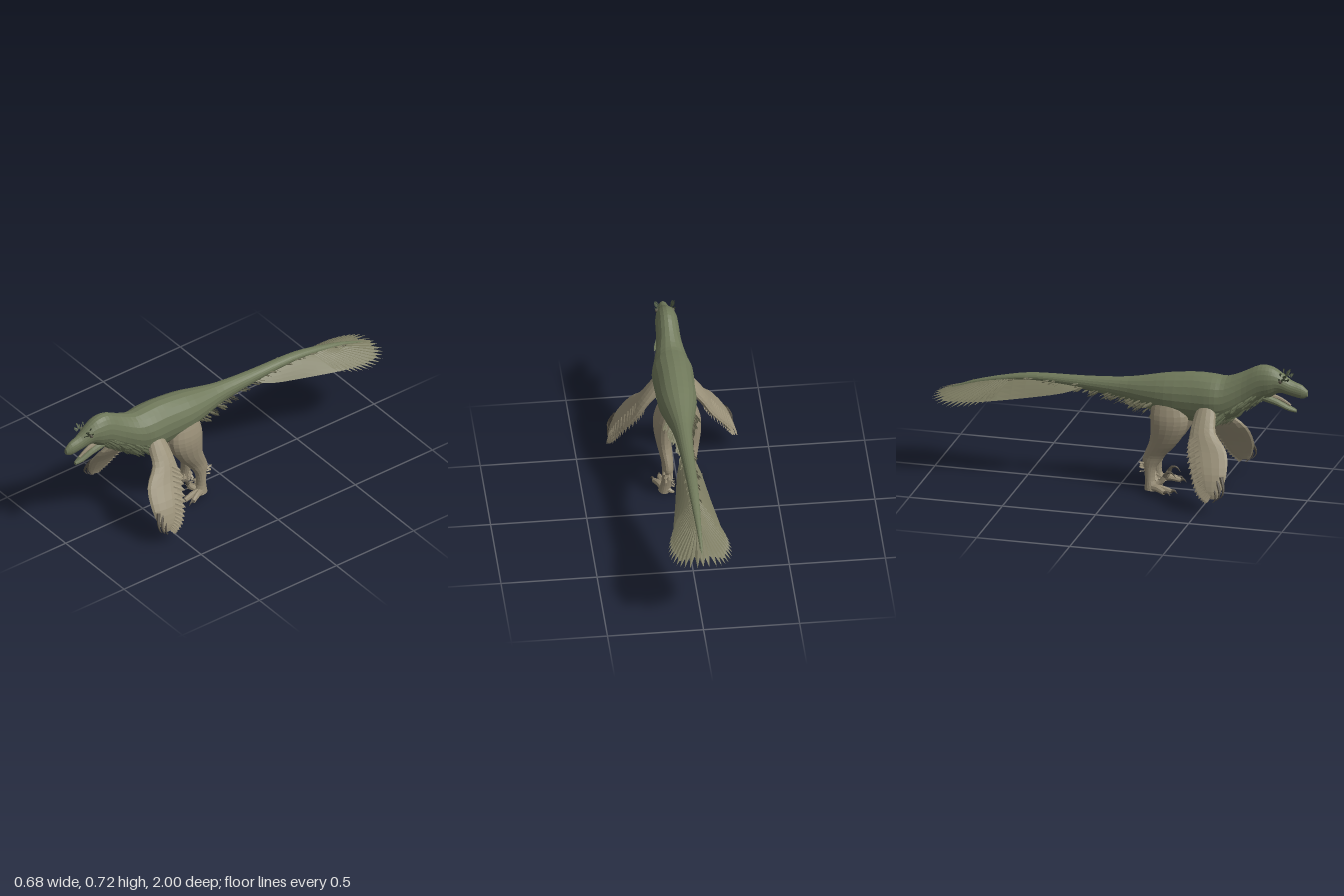
import * as THREE from 'three';
import { mergeGeometries } from 'three/addons/utils/BufferGeometryUtils.js';

const V = (x, y, z) => new THREE.Vector3(x, y, z);
const mat = (color) => new THREE.MeshStandardMaterial({ color, flatShading: true, roughness: 1, side: THREE.DoubleSide });

// Catmull-Rom blend of table rows at index t
function rowAt(rows, t) {
  const n = rows.length - 1, i = Math.min(Math.floor(t), n - 1), f = t - i;
  const r = (k) => rows[Math.max(0, Math.min(n, k))];
  return rows[0].map((_, c) => {
    const [a, b, d, e] = [r(i - 1)[c], r(i)[c], r(i + 1)[c], r(i + 2)[c]];
    return b + 0.5 * f * (d - a + f * (2 * a - 5 * b + 4 * d - e + f * (3 * (b - d) + e - a)));
  });
}

// point on an elliptical section [position, aMin, aMax, bMin, bMax]
function ringPoint([p, a0, a1, b0, b1], axis, ang) {
  const a = (a0 + a1) / 2 + (a1 - a0) / 2 * Math.cos(ang);
  const b = (b0 + b1) / 2 + (b1 - b0) / 2 * Math.sin(ang);
  return axis === 'z' ? V(a, b, p) : V(b, p, a);
}

// closed skin through the sections, positions ascending
function loft(rows, axis, sides = 18, steps = 3) {
  const pos = [], idx = [], n = (rows.length - 1) * steps;
  for (let i = 0; i <= n; i++) for (let j = 0; j < sides; j++)
    pos.push(...ringPoint(rowAt(rows, i / steps), axis, j / sides * Math.PI * 2).toArray());
  for (let j = 0; j < sides; j++) {
    const k = (j + 1) % sides, e = n * sides;
    for (let i = 0; i < n; i++) {
      const a = i * sides + j, b = i * sides + k;
      idx.push(a, b, b + sides, a, b + sides, a + sides);
    }
    if (j > 0 && j < sides - 1) idx.push(0, k, j, e, e + j, e + k);
  }
  return finish(pos, idx);
}

function finish(pos, idx) {
  const g = new THREE.BufferGeometry();
  g.setAttribute('position', new THREE.Float32BufferAttribute(pos, 3));
  g.setIndex(idx);
  const out = g.toNonIndexed();
  out.computeVertexNormals();
  return out;
}

// one ridged leaf-shaped feather from a to b, lying across normal n
function feather(a, b, w, n) {
  const d = b.clone().sub(a), s = d.clone().cross(n).normalize().multiplyScalar(w);
  const m = a.clone().addScaledVector(d, 0.72), lift = n.clone().normalize().multiplyScalar(w * 0.3);
  const pts = [a.clone().addScaledVector(s, 0.5), a.clone().add(lift), a.clone().addScaledVector(s, -0.5),
    m.clone().add(s), m.clone().add(lift), m.clone().sub(s), b];
  return finish(pts.flatMap((p) => p.toArray()), [0, 1, 4, 0, 4, 3, 1, 2, 5, 1, 5, 4, 3, 4, 6, 4, 5, 6]);
}

// tube through points that narrows from r0 to r1
function taper(points, r0, r1, seg = 8, sides = 8) {
  const curve = new THREE.CatmullRomCurve3(points.map((p) => V(...p)));
  const g = new THREE.TubeGeometry(curve, seg, 1, sides), p = g.attributes.position, v = V(0, 0, 0);
  for (let i = 0; i < p.count; i++) {
    const t = Math.floor(i / (sides + 1)) / seg, c = curve.getPointAt(t);
    v.fromBufferAttribute(p, i).sub(c).multiplyScalar(r0 + (r1 - r0) * t).add(c);
    p.setXYZ(i, v.x, v.y, v.z);
  }
  const out = g.toNonIndexed();
  out.deleteAttribute('uv');
  out.computeVertexNormals();
  return out;
}

function mirrored(geo) {
  const g = geo.clone(), p = g.attributes.position, q = geo.attributes.position;
  for (let i = 0; i < p.count; i++) {
    const j = i % 3 === 1 ? i + 1 : i % 3 === 2 ? i - 1 : i;
    p.setXYZ(i, -q.getX(j), q.getY(j), q.getZ(j));
  }
  g.computeVertexNormals();
  return g;
}

export function createModel() {
  const root = new THREE.Group();
  const green = mat(0x6f785a), dark = mat(0x4b5540), olive = mat(0x7d7c62), tan = mat(0x958b74), wingTan = mat(0x999078), claw = mat(0x5a5448);
  let seed = 7;
  const rand = () => (seed = (seed * 16807) % 2147483647) / 2147483647;
  const add = (name, geos, m, both = false) => {
    const g = Array.isArray(geos) ? mergeGeometries(geos) : geos;
    const put = (label, geo) => { const o = new THREE.Mesh(geo, m); o.name = label; root.add(o); };
    put(both ? name + 'Left' : name, g);
    if (both) put(name + 'Right', mirrored(g));
  };

  // tail, trunk, neck, skull and upper jaw: z, half width, bottom, top
  const body = [[-0.95, 0.005, 0.415, 0.43], [-0.8, 0.012, 0.47, 0.492], [-0.61, 0.022, 0.505, 0.542], [-0.45, 0.028, 0.52, 0.566],
    [-0.2, 0.036, 0.5, 0.573], [0, 0.05, 0.47, 0.586], [0.12, 0.075, 0.44, 0.605], [0.25, 0.1, 0.405, 0.632], [0.4, 0.105, 0.385, 0.65],
    [0.5, 0.108, 0.39, 0.648], [0.57, 0.092, 0.405, 0.645], [0.66, 0.068, 0.46, 0.682], [0.74, 0.061, 0.52, 0.722], [0.8, 0.058, 0.55, 0.722],
    [0.85, 0.047, 0.582, 0.698], [0.91, 0.034, 0.572, 0.655], [0.97, 0.023, 0.56, 0.632], [1, 0.011, 0.573, 0.605]]
    .map(([z, w, b, t]) => [z, -w, w, b, t]);
  add('body', loft(body, 'z', 20), green);
  const skin = (z, ang) => {
    const i = Math.max(0, body.findIndex((r) => r[0] >= z) - 1);
    return ringPoint(rowAt(body, i + (z - body[i][0]) / (body[i + 1][0] - body[i][0])), 'z', ang);
  };

  // lower jaw, tongue, eyes and brow tufts
  add('lowerJaw', loft([[0.76, -0.036, 0.036, 0.53, 0.58], [0.84, -0.031, 0.031, 0.51, 0.55],
    [0.9, -0.023, 0.023, 0.487, 0.517], [0.94, -0.01, 0.01, 0.48, 0.497]], 'z', 12), green);
  add('tongue', taper([[0, 0.565, 0.79], [0, 0.545, 0.86], [0, 0.517, 0.91]], 0.015, 0.006), tan);
  const eye = new THREE.SphereGeometry(0.01, 10, 8).toNonIndexed();
  add('eye', eye.translate(0.042, 0.655, 0.865), claw, true);
  const brow = [];
  for (let i = 0; i < 14; i++) {
    const a = V(0.028 + rand() * 0.014, 0.645 + rand() * 0.04, 0.845 + rand() * 0.06);
    brow.push(feather(a, a.clone().add(V(0.008 + rand() * 0.01, 0.008 + rand() * 0.018, -0.012 + rand() * 0.024)), 0.006, V(1, 0, 0.3)));
  }
  add('browTuft', brow, dark, true);

  // feathers scattered over the body's underside between two z and two angles
  const scatter = (count, z0, z1, spread, len, w, droop) => Array.from({ length: count }, () => {
    const ang = -Math.PI / 2 + (rand() * 2 - 1) * spread, z = z0 + rand() * (z1 - z0);
    const a = skin(z, ang), out = V(Math.cos(ang), Math.sin(ang), 0), l = len * (0.7 + 0.6 * rand());
    const b = a.clone().addScaledVector(out, l * (0.25 + 0.25 * rand())).add(V(0, -droop * l, -l * 0.8));
    return feather(a.addScaledVector(out, -0.003), b, w, out);
  });
  add('chestRuff', scatter(130, 0.48, 0.79, 1.25, 0.05, 0.009, 0.45), green);
  add('hipFeathers', scatter(50, 0.04, 0.22, 1.3, 0.045, 0.01, 0.3), olive);
  add('tailUndersideFeathers', scatter(90, -0.3, 0.15, 1.0, 0.045, 0.009, 0.15), olive);
  add('tailSideFeathers', scatter(70, -0.85, -0.2, 1.6, 0.035, 0.006, 0.05), olive);

  // tail vanes: sheet drooping from the spine; z, spine y, half width, edge y
  const vane = [[-0.93, 0.43, 0.12, 0.405], [-0.82, 0.475, 0.13, 0.415], [-0.7, 0.512, 0.125, 0.425], [-0.5, 0.545, 0.093, 0.452], [-0.3, 0.545, 0.062, 0.487], [-0.2, 0.53, 0.03, 0.52]];
  const sheet = new THREE.PlaneGeometry(2, 1, 12, 15), sp = sheet.attributes.position;
  for (let i = 0; i < sp.count; i++) {
    const [z, y, w, e] = rowAt(vane, (0.5 - sp.getY(i)) * 5), u = sp.getX(i);
    sp.setXYZ(i, u * w, y + (e - y) * Math.pow(Math.abs(u), 1.4), z);
  }
  add('tailVane', sheet, olive);

  // fan feathers: tips follow a rounded outline; x, y, z
  const rim = [[0, 0.41, -1], [0.08, 0.405, -0.995], [0.13, 0.395, -0.96], [0.16, 0.39, -0.9], [0.165, 0.395, -0.83], [0.152, 0.405, -0.76], [0.127, 0.42, -0.69]];
  const fan = [];
  for (let i = 0; i < 15; i++) {
    const t = i / 14, tip = V(...rowAt(rim, t * 6)), base = V(0.008, 0.485 + 0.05 * t, -0.78 + 0.2 * t);
    fan.push(feather(base, tip, 0.014, V(0.4, 1, -0.3)));
  }
  add('tailFan', fan, olive, true);

  // winged arms: y, z range, x range
  const wing = [[0.08, 0.55, 0.6, 0.306, 0.324], [0.12, 0.5, 0.62, 0.287, 0.323], [0.2, 0.455, 0.638, 0.24, 0.293], [0.3, 0.415, 0.62, 0.17, 0.23],
    [0.38, 0.412, 0.55, 0.122, 0.184], [0.45, 0.42, 0.535, 0.06, 0.14], [0.52, 0.44, 0.52, 0.04, 0.09]];
  add('arm', loft(wing, 'y', 14), wingTan, true);

  // feathers along each wing's trailing edge and over its outer face
  const quills = [];
  for (let k = 0; k < 3; k++) for (let i = 0; i < 16; i++) {
    const t = i / 15 * 3.6, [y, z0, z1, x0, x1] = rowAt(wing, t), f = [0.35, 0.18, 0.3][k];
    const a = V((x0 + x1) / 2 + (k - 1) * (x1 - x0) * 0.42, y + 0.02, z0 + (z1 - z0) * f);
    quills.push(feather(a, a.clone().add(V(0.016, -0.042, -(z1 - z0) * f - 0.012 + 0.004 * t)), 0.011, V(1, 0.5, 0)));
  }
  add('wingFeathers', quills, wingTan, true);
  const fingers = [0, 1, 2].map((i) => taper([[0.285 + i * 0.006, 0.19 - i * 0.02, 0.615 - i * 0.02],
    [0.315 + i * 0.004, 0.135 - i * 0.018, 0.635 - i * 0.02], [0.325, 0.105 - i * 0.018, 0.632 - i * 0.022], [0.318, 0.085 - i * 0.012, 0.615 - i * 0.02]], 0.012, 0.001));
  add('fingers', fingers, claw, true);

  // legs: y, z range, x range
  add('leg', loft([[0.012, 0.145, 0.225, 0.045, 0.108], [0.06, 0.147, 0.2, 0.04, 0.096], [0.12, 0.14, 0.203, 0.033, 0.09], [0.16, 0.13, 0.225, 0.03, 0.09],
    [0.2, 0.14, 0.255, 0.03, 0.093], [0.28, 0.172, 0.325, 0.033, 0.113], [0.36, 0.178, 0.37, 0.027, 0.125],
    [0.43, 0.175, 0.375, 0.02, 0.117], [0.52, 0.19, 0.34, 0.02, 0.08]], 'y', 16), tan, true);

  // walking toes with claws, raised sickle toe and rear toe
  const toes = [[0.122, 0.265], [0.09, 0.295]].map(([x, z]) =>
    taper([[0.08, 0.022, 0.18], [(x + 0.08) / 2, 0.026, (z + 0.18) / 2], [x, 0.015, z]], 0.021, 0.013));
  toes.push(taper([[0.055, 0.03, 0.19], [0.05, 0.045, 0.225], [0.048, 0.075, 0.245]], 0.017, 0.013));
  toes.push(taper([[0.06, 0.03, 0.16], [0.04, 0.022, 0.15], [0.03, 0.012, 0.16]], 0.014, 0.006));
  add('toes', toes, tan, true);
  add('toeClaws', [taper([[0.12, 0.016, 0.262], [0.129, 0.02, 0.285], [0.134, 0.005, 0.3]], 0.01, 0.001),
    taper([[0.09, 0.016, 0.29], [0.09, 0.021, 0.31], [0.09, 0.005, 0.325]], 0.011, 0.001),
    taper([[0.048, 0.07, 0.242], [0.047, 0.1, 0.26], [0.047, 0.1, 0.285], [0.047, 0.075, 0.305]], 0.012, 0.001)], claw, true);

  // feather tufts at the ankle and inner foot
  const tuft = [];
  for (let i = 0; i < 26; i++) {
    const low = i % 2, a = low ? V(0.04, 0.03 + rand() * 0.05, 0.16 + rand() * 0.06) : V(0.04 + rand() * 0.045, 0.1 + rand() * 0.06, 0.145);
    tuft.push(feather(a, a.clone().add(low ? V(-0.02, -0.01, rand() * 0.03) : V(0, -0.015 + rand() * 0.02, -0.03)), 0.007, V(0.2, 1, 0.4)));
  }
  add('ankleTuft', tuft, tan, true);
  return root;
}
